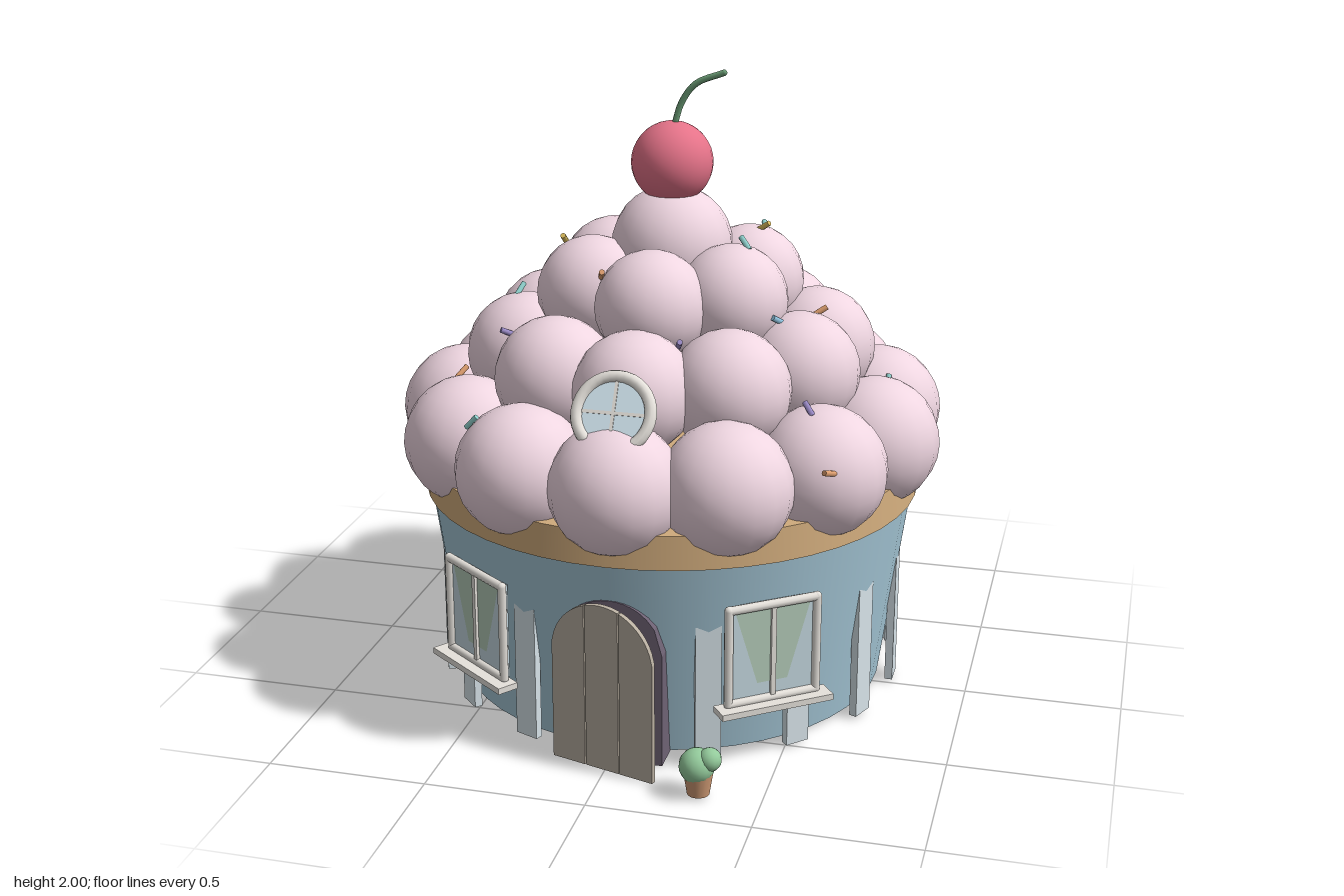
import * as THREE from 'three';

const CZ = -0.045; // z of the cake axis
const mat = (color, side = THREE.FrontSide) => new THREE.MeshStandardMaterial({ color, side });
const M = {
  wall: mat(0xa6c8d8), board: mat(0xd8e4ea), crust: mat(0xd0ab7c), frosting: mat(0xefd6e1),
  cherry: mat(0xe57389), stem: mat(0x6fa27a), trim: mat(0xe6e2dc), glass: mat(0xc4d8e0),
  paleGlass: mat(0xd4e8f2), curtain: mat(0xb4cbb8, THREE.DoubleSide), door: mat(0xbab0a2),
  doorway: mat(0x6e6274), pot: mat(0xcf9a74), leaf: mat(0x94cb9c),
};

function add(parent, name, geometry, material, x = 0, y = 0, z = 0) {
  const mesh = new THREE.Mesh(geometry, material);
  mesh.name = name;
  mesh.position.set(x, y, z);
  parent.add(mesh);
  return mesh;
}

function group(parent, name, x = 0, y = 0, z = 0) {
  const g = new THREE.Group();
  g.name = name;
  g.position.set(x, y, z);
  parent.add(g);
  return g;
}

// Vertical slice of a round-topped arch, between x0 and x1
function archSlice(x0, x1, halfWidth, height, depth) {
  const shape = new THREE.Shape();
  shape.moveTo(x0, 0);
  shape.lineTo(x1, 0);
  const n = 14;
  for (let i = 0; i <= n; i++) {
    const x = x1 + (x0 - x1) * (i / n);
    shape.lineTo(x, height - halfWidth + Math.sqrt(Math.max(0, halfWidth ** 2 - x * x)));
  }
  return new THREE.ExtrudeGeometry(shape, { depth, bevelEnabled: false });
}

// Tapered wrapper, standing slats and crust
function buildBase(root) {
  const base = group(root, 'cakeBase', 0, 0, CZ);
  add(base, 'wrapperWall', new THREE.CylinderGeometry(0.79, 0.7, 0.65, 48), M.wall, 0, 0.335, 0);
  add(base, 'crust', new THREE.CylinderGeometry(0.795, 0.805, 0.105, 48), M.crust, 0, 0.708, 0);
  for (let i = 1; i < 16; i++) {
    const a = (i / 16) * Math.PI * 2;
    const slat = add(base, 'wrapperSlat', new THREE.BoxGeometry(0.08, 0.44, 0.025), M.board,
      Math.sin(a) * 0.746, 0.23, Math.cos(a) * 0.746);
    slat.rotation.y = a;
  }
}

// Rings of frosting balls; returns their centres and radii
function buildFrosting(root) {
  const frosting = group(root, 'frosting');
  const rings = [ // count, ring radius, height, ball radius
    [13, 0.685, 0.86, 0.205],
    [10, 0.47, 1.09, 0.19],
    [6, 0.26, 1.3, 0.178],
    [1, 0, 1.43, 0.195],
  ];
  const balls = [];
  for (const [count, ring, y, r] of rings) {
    const geometry = new THREE.SphereGeometry(r, 18, 14);
    for (let i = 0; i < count; i++) {
      const a = (i / count) * Math.PI * 2;
      const ball = add(frosting, 'frostingBall', geometry, M.frosting,
        Math.sin(a) * ring, y, CZ + Math.cos(a) * ring);
      ball.rotation.y = a;
      balls.push({ c: ball.position, r });
    }
  }
  return balls;
}

// Sugar sprinkles resting on the highest ball at each spot
function buildSprinkles(root, balls) {
  const sprinkles = group(root, 'sprinkles');
  const colors = [0x8fd0cc, 0x9c8cc8, 0xe0c060, 0xe0a070, 0x90c4e0].map((c) => mat(c));
  const spots = [ // x, z, colour
    [-0.34, -0.82, 0], [-0.53, -0.42, 1], [-0.67, -0.22, 2], [-0.28, -0.39, 2], [-0.42, -0.31, 4],
    [-0.14, -0.42, 1], [0.18, -0.4, 3], [0.25, -0.28, 0], [0.27, -0.16, 2], [-0.29, -0.05, 1],
    [-0.47, 0.08, 0], [-0.32, 0.06, 2], [0.26, 0.07, 0], [0.49, 0.02, 3], [0.39, 0.16, 4],
    [0.69, -0.14, 0], [-0.14, 0.26, 3], [-0.45, 0.26, 1], [-0.6, 0.29, 3], [0.12, 0.37, 1],
    [0.53, 0.38, 1], [-0.48, 0.53, 0], [0.62, 0.53, 3], [-0.1, -0.7, 3],
  ];
  const geometry = new THREE.CylinderGeometry(0.009, 0.009, 0.052, 8);
  const up = new THREE.Vector3(0, 1, 0);
  spots.forEach(([x, z, color], i) => {
    let y = 0.8;
    const normal = up.clone();
    for (const { c, r } of balls) {
      const h = r * r - (x - c.x) ** 2 - (z - c.z) ** 2;
      if (h > 0 && c.y + Math.sqrt(h) > y) {
        y = c.y + Math.sqrt(h);
        normal.set(x - c.x, y - c.y, z - c.z).normalize();
      }
    }
    const turn = i * 2.4;
    const dir = new THREE.Vector3(Math.cos(turn), 0.2, Math.sin(turn)).addScaledVector(normal, 0.6).normalize();
    const s = add(sprinkles, 'sprinkle', geometry, colors[color], x, y, z);
    s.position.addScaledVector(normal, 0.008);
    s.quaternion.setFromUnitVectors(up, dir);
  });
}

function buildCherry(root) {
  const cherry = group(root, 'cherry', 0, 0, CZ);
  add(cherry, 'cherryFruit', new THREE.SphereGeometry(0.13, 24, 18), M.cherry, 0, 1.7, 0);
  const path = new THREE.CatmullRomCurve3([[0.005, 1.81], [0.03, 1.89], [0.075, 1.95], [0.165, 1.988]]
    .map(([x, y]) => new THREE.Vector3(x, y, 0)));
  add(cherry, 'cherryStem', new THREE.TubeGeometry(path, 16, 0.01, 8), M.stem);
  add(cherry, 'stemTip', new THREE.SphereGeometry(0.01, 8, 6), M.stem, 0.165, 1.988, 0);
}

// Doorway with a plank door standing ajar, hinged on the right
function buildDoor(root) {
  add(root, 'doorway', archSlice(-0.165, 0.165, 0.165, 0.53, 0.12), M.doorway, 0, 0.005, 0.61);
  const door = group(root, 'door', -0.175, 0, 0.72);
  door.rotation.y = -0.28;
  const hw = 0.178;
  for (let i = 0; i < 3; i++) {
    const x0 = -hw + (i * 2 * hw) / 3;
    add(door, 'doorPlank', archSlice(x0 + 0.002, x0 + (2 * hw) / 3 - 0.002, hw, 0.54, 0.016), M.door, hw, 0, 0);
  }
  add(door, 'doorBacking', archSlice(-hw + 0.005, hw - 0.005, hw - 0.005, 0.535, 0.008), M.door, hw, 0, -0.004);
}

// Framed window with a drawn curtain and a sill
function buildWindow(root, side) {
  const a = 0.645;
  const win = group(root, side > 0 ? 'leftWindow' : 'rightWindow',
    side * Math.sin(a) * 0.772, 0.36, CZ + Math.cos(a) * 0.772);
  win.rotation.y = side * a;
  add(win, 'windowGlass', new THREE.BoxGeometry(0.29, 0.31, 0.02), M.glass);
  const v = new THREE.Shape([[-0.125, 0.145], [-0.05, -0.1], [0.05, -0.1], [0.125, 0.145]]
    .map(([x, y]) => new THREE.Vector2(x, y)));
  add(win, 'curtain', new THREE.ShapeGeometry(v), M.curtain, 0, 0, 0.0115);
  const post = new THREE.CapsuleGeometry(0.014, 0.31, 4, 10);
  const rail = new THREE.CapsuleGeometry(0.014, 0.29, 4, 10);
  for (const s of [-1, 1]) {
    add(win, 'framePost', post, M.trim, s * 0.146, 0, 0.012);
    add(win, 'frameRail', rail, M.trim, 0, s * 0.154, 0.012).rotation.z = Math.PI / 2;
  }
  add(win, 'mullion', new THREE.BoxGeometry(0.016, 0.31, 0.014), M.trim, 0, 0, 0.014);
  add(win, 'windowSill', new THREE.BoxGeometry(0.37, 0.02, 0.07), M.trim, 0, -0.17, 0.025);
}

// Round window leaning back in the frosting
function buildRoundWindow(root) {
  const win = group(root, 'roundWindow', 0, 1.1, 0.655);
  win.rotation.x = -0.53;
  add(win, 'roundFrame', new THREE.TorusGeometry(0.112, 0.019, 10, 32), M.trim);
  add(win, 'roundGlass', new THREE.CylinderGeometry(0.11, 0.11, 0.01, 32), M.paleGlass).rotation.x = Math.PI / 2;
  add(win, 'verticalBar', new THREE.BoxGeometry(0.01, 0.21, 0.016), M.trim);
  add(win, 'horizontalBar', new THREE.BoxGeometry(0.21, 0.01, 0.016), M.trim);
}

function buildPlant(root) {
  const plant = group(root, 'pottedPlant', 0.31, 0, 0.865);
  add(plant, 'pot', new THREE.CylinderGeometry(0.048, 0.034, 0.09, 16), M.pot, 0, 0.055, 0);
  add(plant, 'bush', new THREE.SphereGeometry(0.054, 16, 12), M.leaf, -0.005, 0.1, 0);
  add(plant, 'smallBush', new THREE.SphereGeometry(0.036, 14, 10), M.leaf, 0.034, 0.125, 0);
}

export function createModel() {
  const root = new THREE.Group();
  root.name = 'cupcakeHouse';
  buildBase(root);
  const balls = buildFrosting(root);
  buildSprinkles(root, balls);
  buildCherry(root);
  buildDoor(root);
  for (const side of [-1, 1]) buildWindow(root, side);
  buildRoundWindow(root);
  buildPlant(root);
  return root;
}
